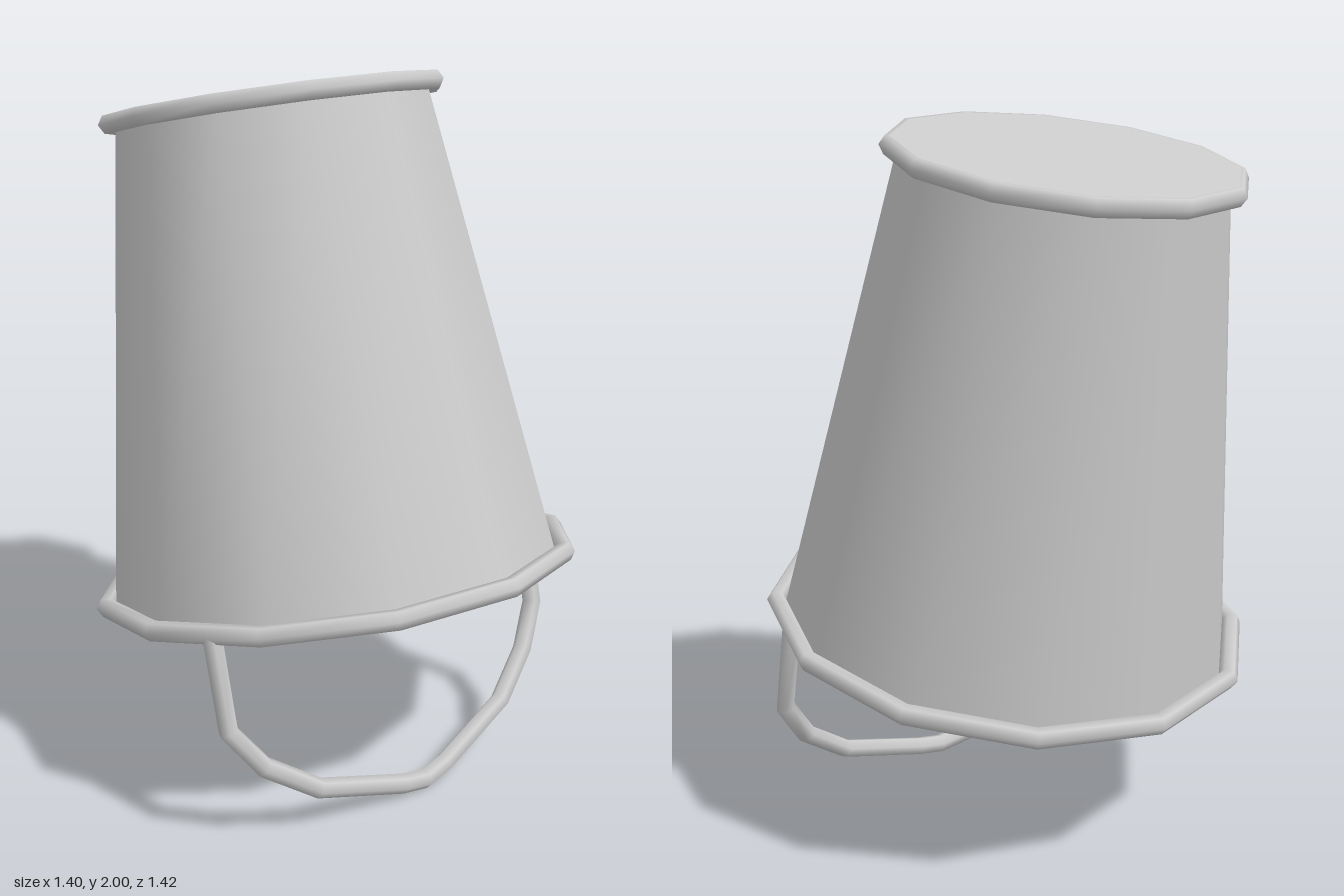
import * as THREE from 'three';

const SIDES = 12;
const material = new THREE.MeshStandardMaterial({ color: 0xcccccc, side: THREE.DoubleSide });

function part(name, geometry, y = 0) {
  const mesh = new THREE.Mesh(geometry, material);
  mesh.name = name;
  mesh.position.y = y;
  return mesh;
}

// Twelve-sided hoop with a hexagonal section, lying flat
function hoop(radius) {
  return new THREE.TorusGeometry(radius, 0.028, 6, SIDES).rotateX(Math.PI / 2);
}

// Polyline whose tangent at each corner bisects the two segments, so a tube mitres there
class Polyline extends THREE.Curve {
  constructor(points) {
    super();
    this.points = points;
  }
  getPointAt(u, target = new THREE.Vector3()) {
    return target.copy(this.points[Math.round(u * (this.points.length - 1))]);
  }
  getTangentAt(u, target = new THREE.Vector3()) {
    const p = this.points;
    const i = Math.round(u * (p.length - 1));
    target.set(0, 0, 0);
    if (i > 0) target.add(p[i].clone().sub(p[i - 1]).normalize());
    if (i < p.length - 1) target.add(p[i + 1].clone().sub(p[i]).normalize());
    return target.normalize();
  }
}

export function createModel() {
  const model = new THREE.Group();
  model.name = 'upturnedBucket';

  // Bucket upside down, tipped slightly backwards
  const height = 1.33;
  const bucket = new THREE.Group();
  bucket.name = 'bucket';
  bucket.position.set(0, 0.58, 0.025);
  bucket.rotation.x = -0.192;
  bucket.add(
    part('wall', new THREE.CylinderGeometry(0.442, 0.645, height, SIDES, 1, true), height / 2),
    part('mouthRim', hoop(0.672)),
    part('baseRim', hoop(0.462), height),
    part('base', new THREE.CircleGeometry(0.465, SIDES).rotateX(-Math.PI / 2), height + 0.0245)
  );
  model.add(bucket);

  // Bail handle hanging from the mouth rim and swinging forward
  const half = [
    [0.62, 0.615, 0.205], [0.618, 0.355, 0.262], [0.53, 0.235, 0.302],
    [0.375, 0.13, 0.348], [0.085, 0.045, 0.387]
  ].map((p) => new THREE.Vector3(...p));
  const mirrored = half.map((p) => new THREE.Vector3(-p.x, p.y, p.z)).reverse();
  const path = new Polyline([...half, new THREE.Vector3(0, 0.03, 0.392), ...mirrored]);
  model.add(part('handle', new THREE.TubeGeometry(path, path.points.length - 1, 0.028, 6)));

  return model;
}
